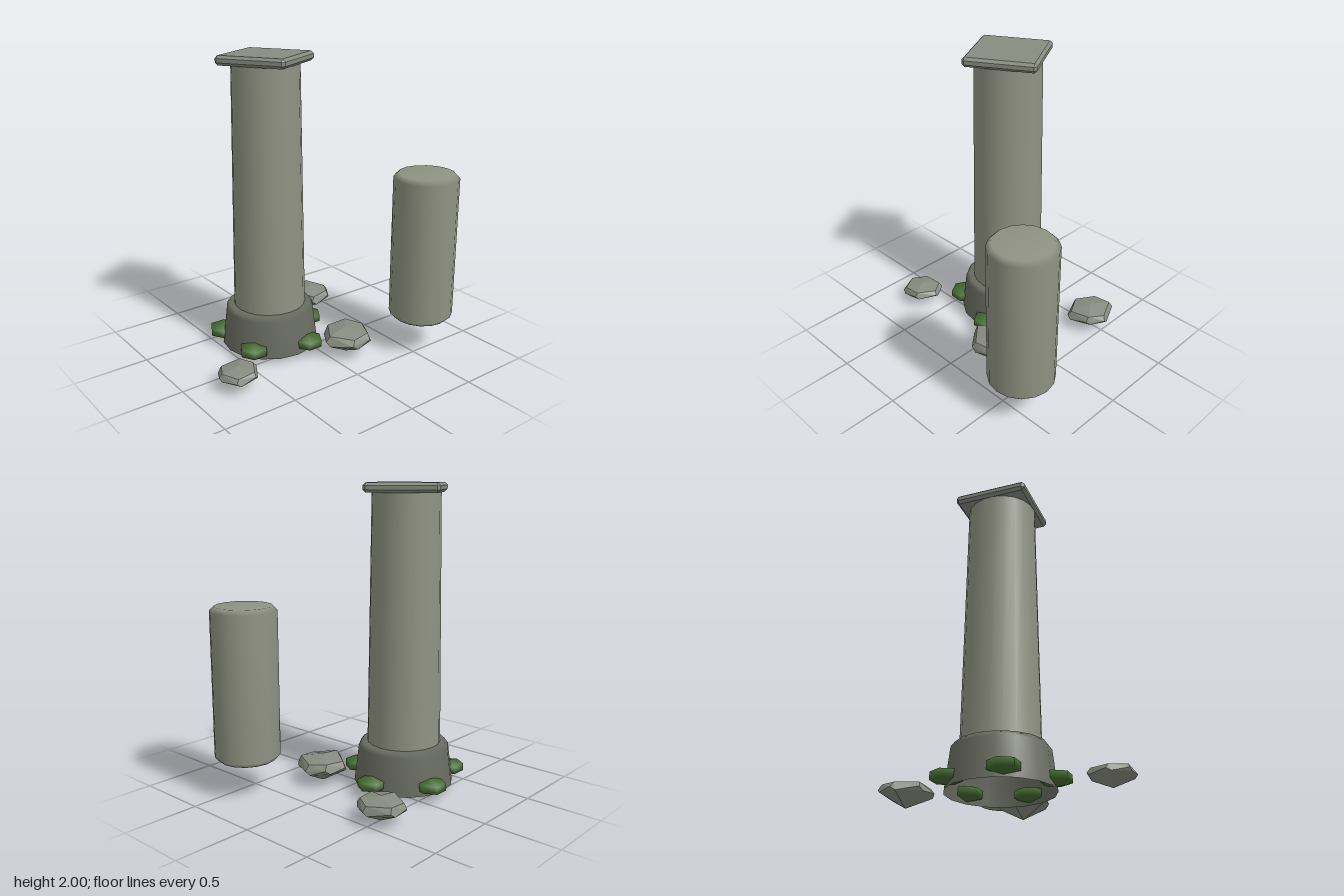
import * as THREE from 'three';
import { ConvexGeometry } from 'three/addons/geometries/ConvexGeometry.js';

const mat = (name, color, side = THREE.FrontSide) => {
  const m = new THREE.MeshStandardMaterial({ color, side });
  m.name = name;
  return m;
};

const lathe = (pts, sides) =>
  new THREE.LatheGeometry(pts.map(([r, y]) => new THREE.Vector2(r, y)), sides);

// Square slab with every edge chamfered by c
function chamferedSlab(half, halfHeight, c) {
  const pts = [];
  for (const sx of [-1, 1]) for (const sy of [-1, 1]) for (const sz of [-1, 1]) {
    for (const [x, y, z] of [[0, c, c], [c, 0, c], [c, c, 0]]) {
      pts.push(new THREE.Vector3(sx * (half - x), sy * (halfHeight - y), sz * (half - z)));
    }
  }
  return new ConvexGeometry(pts);
}

// Faceted rubble: six-cornered girdle, low apex above, deep point below
function rubble(outline, rx, rz, h) {
  const pts = [new THREE.Vector3(0, 0, 0), new THREE.Vector3(0, h, 0)];
  const rings = [[0.5, 0.97, -0.12], [0.64, 1, 0.08], [0.84, 0.87, 0]];
  outline.forEach(([x, z], i) => {
    for (const [y, r, turn] of rings) {
      const c = Math.cos(turn) * r, s = Math.sin(turn) * r;
      const lift = (i % 2 ? 0.03 : -0.03) * h;
      pts.push(new THREE.Vector3((x * c - z * s) * rx, y * h + lift, (x * s + z * c) * rz));
    }
  });
  return new ConvexGeometry(pts);
}

export function createModel() {
  const model = new THREE.Group();
  model.name = 'ruinedColumns';

  const stone = mat('stone', 0x8f9282);
  const darkStone = mat('dark stone', 0x686b60, THREE.DoubleSide);
  const paleStone = mat('grey stone', 0x888b80);
  const moss = mat('moss', 0x456a32);

  const add = (parent, name, geometry, material, x = 0, y = 0, z = 0) => {
    const mesh = new THREE.Mesh(geometry, material);
    mesh.name = name;
    mesh.position.set(x, y, z);
    parent.add(mesh);
    return mesh;
  };

  // Standing column
  const column = new THREE.Group();
  column.name = 'column';
  column.position.set(-0.18, 0, -0.23);
  model.add(column);

  add(column, 'base', lathe([[0.33, 0.03], [0.3, 0.28], [0.278, 0.31], [0, 0.31]], 16), darkStone);
  add(column, 'shaft', new THREE.CylinderGeometry(0.22, 0.243, 1.64, 20), stone, 0, 1.125, 0);
  const capital = add(column, 'capital', chamferedSlab(0.237, 0.031, 0.018), paleStone, 0, 1.969, 0);
  capital.rotation.y = Math.PI / 6;

  // Moss clumps around the base
  for (let i = 0; i < 5; i++) {
    const a = (i / 5) * Math.PI * 2;
    const clump = add(column, 'mossClump', new THREE.SphereGeometry(0.11, 6, 3), moss,
      Math.cos(a) * 0.325, 0.093, Math.sin(a) * 0.325);
    clump.scale.y = 0.44;
  }

  // Separate column drum
  add(model, 'looseDrum',
    lathe([[0, 0.23], [0.185, 0.23], [0.215, 0.26], [0.215, 1.21], [0.185, 1.24], [0, 1.24]], 16),
    stone, 0.607, 0, 0.445);

  // Scattered rubble
  add(model, 'rubbleLeft', rubble(
    [[1, -0.15], [0.5, 0.92], [-0.3, 1], [-1, 0.15], [-0.3, -0.98], [0.6, -0.87]],
    0.18, 0.165, 0.188), paleStone, 0.143, 0.002, 0.21);
  add(model, 'rubbleRight', rubble(
    [[1, -0.2], [0.45, 0.95], [-0.55, 1], [-1, 0], [-0.55, -1], [0.6, -1]],
    0.138, 0.118, 0.13), paleStone, -0.688, 0.02, 0.163);
  add(model, 'rubbleBack', rubble(
    [[1, 0.05], [0.55, 0.82], [-0.5, 1], [-1, 0.05], [-0.47, -0.95], [0.5, -1]],
    0.15, 0.153, 0.16), paleStone, 0.383, 0.006, -0.51);

  return model;
}
